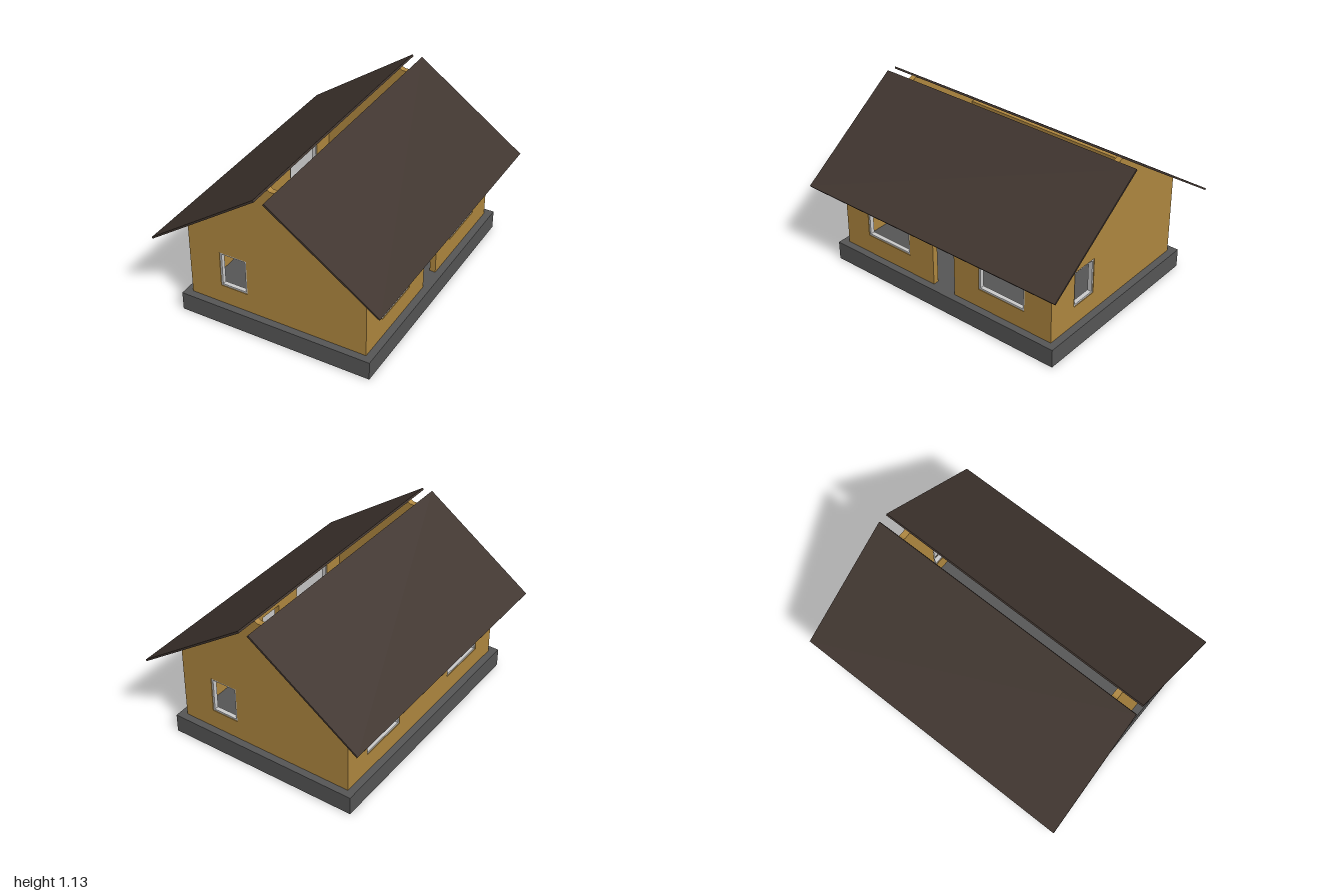
import * as THREE from 'three';

const WALL = new THREE.MeshStandardMaterial({ color: 0xaf873f });
const ROOF = new THREE.MeshStandardMaterial({ color: 0x40352f });
const BASE = new THREE.MeshStandardMaterial({ color: 0x565656 });
const FRAME = new THREE.MeshStandardMaterial({ color: 0xcccccc });

const T = 0.04;          // wall thickness
const FLOOR = 0.13;      // top of the foundation
const EAVE = 0.7;        // wall height at the eaves
const HX = 0.63, HZ = 0.85;

const points = (list) => list.map(([x, y]) => new THREE.Vector2(x, y));

function extrude(outline, holes, depth) {
  const shape = new THREE.Shape(points(outline));
  for (const h of holes) shape.holes.push(new THREE.Path(points(h)));
  return new THREE.ExtrudeGeometry(shape, { depth, bevelEnabled: false });
}

// four-sided opening whose head may slope from y0 to y1
const opening = (a, b, sill, y0, y1 = y0) => [[a, sill], [b, sill], [b, y1], [a, y0]];

// window trim inside an opening; sloped openings have no head bar
function frameGeometry(o) {
  const w = 0.012, d = 0.03;
  const [[a, s], [b], [, y1], [, y0]] = o;
  const g = y0 === y1
    ? extrude(o, [opening(a + w, b - w, s + w, y0 - w)], d)
    : extrude([[a, s], [b, s], [b, y1], [b - w, y1], [b - w, s + w], [a + w, s + w], [a + w, y0], [a, y0]], [], d);
  return g.translate(0, 0, (T - d) / 2);
}

// a wall drawn flat, with openings and trimmed windows
function buildWall(name, outline, windows) {
  const group = new THREE.Group();
  group.name = name;
  const wall = new THREE.Mesh(extrude(outline, windows, T), WALL);
  wall.name = name + 'Panel';
  group.add(wall);
  for (const o of windows) {
    const frame = new THREE.Mesh(frameGeometry(o), FRAME);
    frame.name = 'windowFrame';
    group.add(frame);
  }
  return group;
}

export function createModel() {
  const house = new THREE.Group();
  house.name = 'house';

  // foundation slab
  const base = new THREE.Mesh(new THREE.BoxGeometry(1.36, FLOOR, 1.8), BASE);
  base.name = 'foundation';
  base.position.y = FLOOR / 2;
  house.add(base);

  // gable walls, the back one turned half round
  const gable = [
    [-HX, FLOOR], [HX, FLOOR], [HX, EAVE], [0.036, 1.112], [0.014, 1.1],
    [-0.014, 1.1], [-0.036, 1.112], [-HX, EAVE],
  ];
  const gableWindow = opening(-0.405, -0.21, 0.265, 0.52);
  const front = buildWall('frontWall', gable, [gableWindow]);
  front.position.z = HZ - T;
  const back = buildWall('backWall', gable, [gableWindow]);
  back.rotation.y = Math.PI;
  back.position.z = -(HZ - T);
  house.add(front, back);

  // long walls, drawn with z along the shape's x axis
  const L = HZ - T;
  const plain = [[-L, FLOOR], [L, FLOOR], [L, EAVE], [-L, EAVE]];
  const withDoor = [
    [-L, FLOOR], [-0.085, FLOOR], [-0.085, 0.46], [0.09, 0.46], [0.09, FLOOR],
    [L, FLOOR], [L, EAVE], [-L, EAVE],
  ];
  const doorWall = buildWall('doorWall', withDoor, [
    opening(0.29, 0.655, 0.265, 0.51, 0.497),
    opening(-0.645, -0.285, 0.265, 0.445, 0.52),
  ]);
  const plainWall = buildWall('plainSideWall', plain, [
    opening(0.29, 0.655, 0.265, 0.52),
    opening(-0.645, -0.285, 0.265, 0.52),
  ]);
  doorWall.position.x = HX;
  plainWall.position.x = -HX + T;
  for (const w of [doorWall, plainWall]) {
    w.rotation.y = -Math.PI / 2;
    house.add(w);
  }

  // two thin roof slabs with an open ridge gap
  const slope = [[0.029, 1.115], [0.794, 0.58], [0.8, 0.59], [0.036, 1.127]];
  for (const s of [1, -1]) {
    const slab = new THREE.Mesh(extrude(slope, [], 2).translate(0, 0, -1), ROOF);
    slab.name = s > 0 ? 'leftRoofSlab' : 'rightRoofSlab';
    if (s < 0) slab.rotation.y = Math.PI;
    house.add(slab);
  }
  return house;
}
